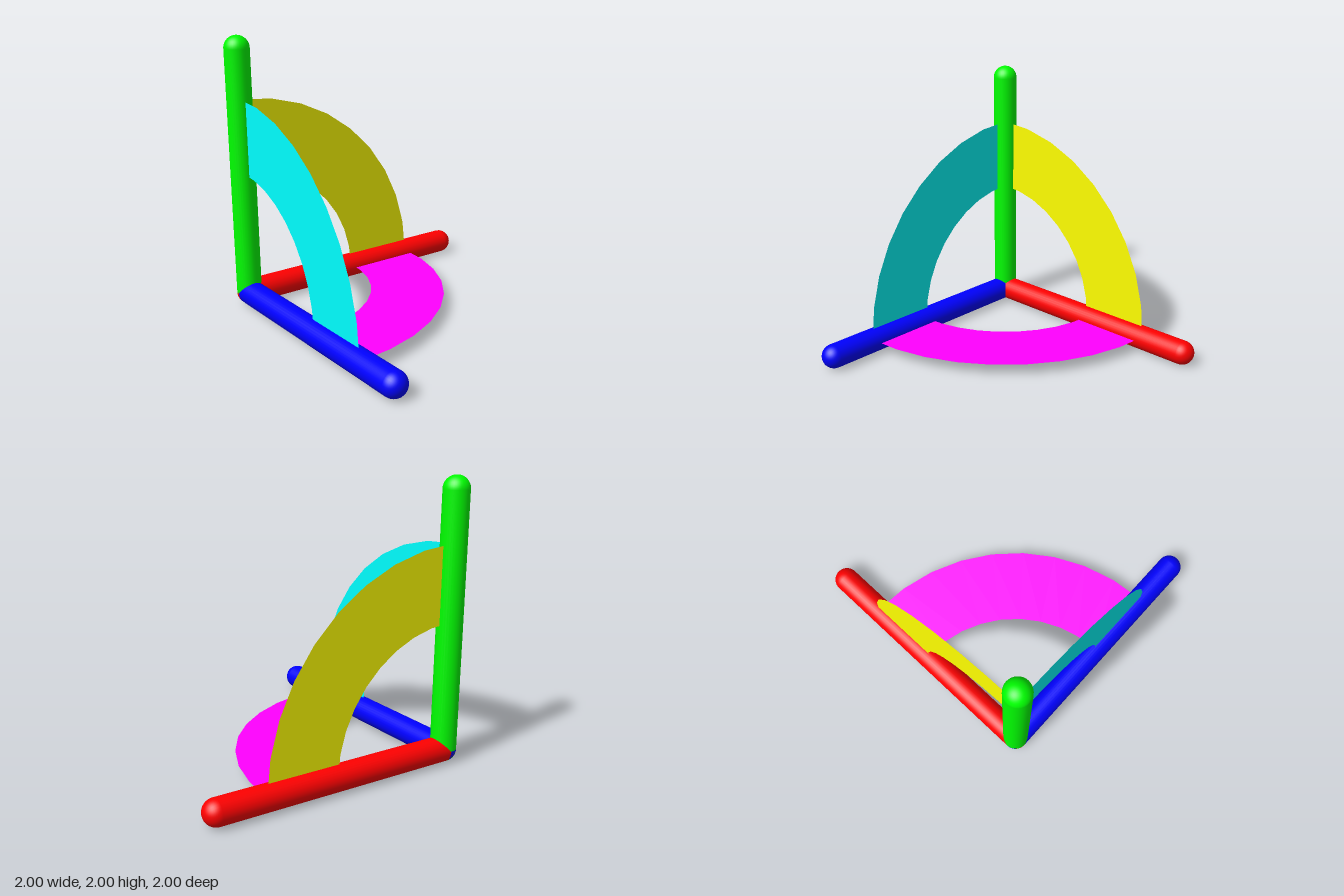
import * as THREE from 'three';

const LENGTH = 1.818; // axis length between the centres of its round ends
const RADIUS = LENGTH / 20;

export function createModel() {
  const model = new THREE.Group();
  model.name = 'axisGizmo';

  // Everything is built around the shared corner of the three axes
  const corner = new THREE.Group();
  corner.name = 'axes';
  corner.position.set(RADIUS - 1, RADIUS, RADIUS - 1);
  model.add(corner);

  // Round-ended bar, starting at the corner and pointing up before rotation
  const barGeometry = new THREE.CapsuleGeometry(RADIUS, LENGTH, 12, 32);
  barGeometry.translate(0, LENGTH / 2, 0);

  // Flat quarter ring with 10 degree facets, in the xy plane before rotation
  const arcGeometry = new THREE.RingGeometry(LENGTH * 0.5, LENGTH * 0.8, 9, 1, 0, Math.PI / 2);

  function addPart(name, geometry, color, rotation, side = THREE.FrontSide) {
    const mesh = new THREE.Mesh(geometry, new THREE.MeshStandardMaterial({ color, side }));
    mesh.name = name;
    mesh.rotation.set(...rotation);
    corner.add(mesh);
  }

  const q = Math.PI / 2;

  // Axis bars
  addPart('xAxisBar', barGeometry, 0xff0000, [0, 0, -q]);
  addPart('yAxisBar', barGeometry, 0x00ff00, [0, 0, 0]);
  addPart('zAxisBar', barGeometry, 0x0000ff, [q, 0, 0]);

  // Plane arcs joining each pair of axes
  addPart('xyPlaneArc', arcGeometry, 0xffff00, [0, 0, 0], THREE.DoubleSide);
  addPart('yzPlaneArc', arcGeometry, 0x00ffff, [0, -q, 0], THREE.DoubleSide);
  addPart('xzPlaneArc', arcGeometry, 0xff00ff, [q, 0, 0], THREE.DoubleSide);

  return model;
}
